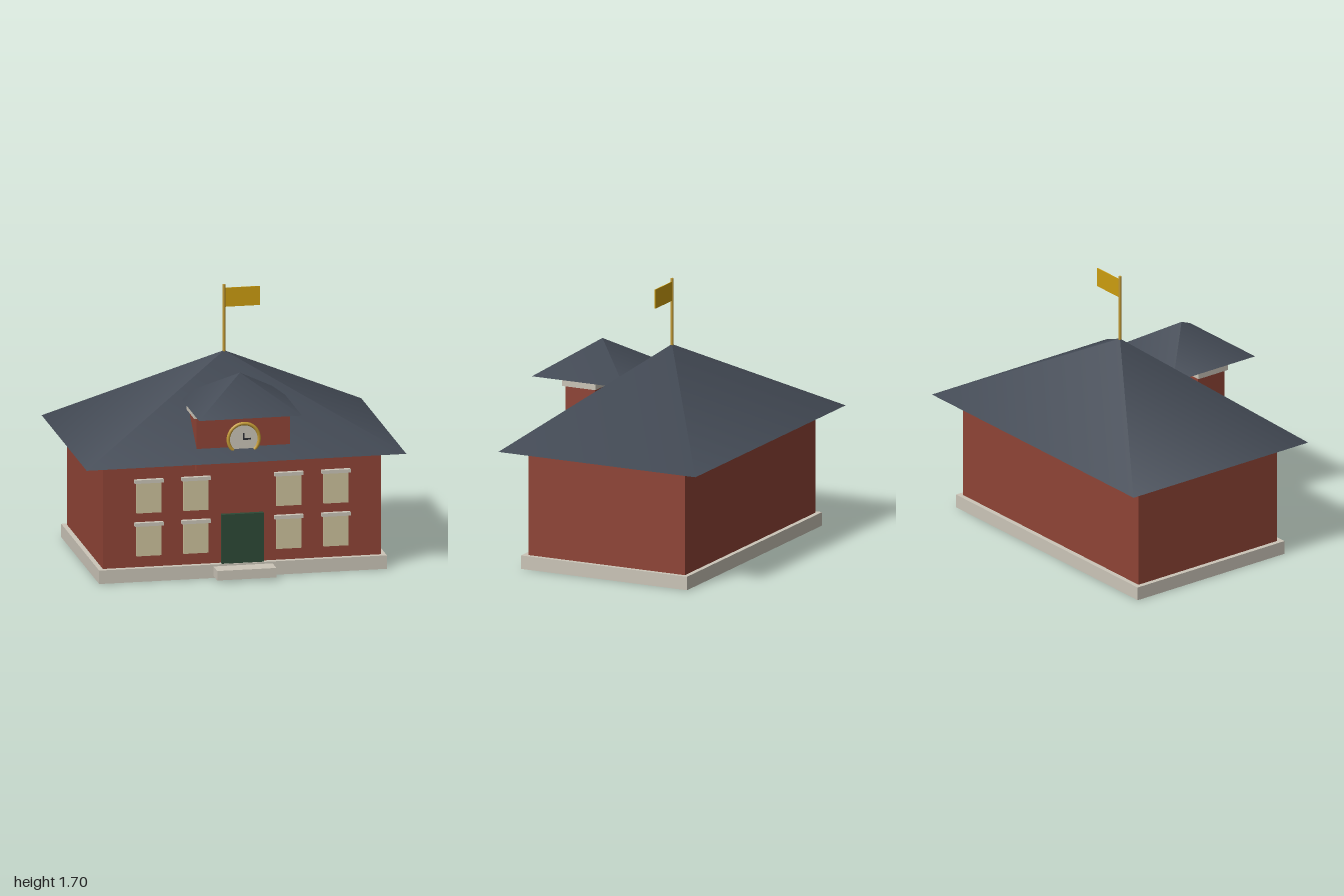
import * as THREE from 'three';

const mat = (name, color) => {
  const m = new THREE.MeshStandardMaterial({ color });
  m.name = name;
  return m;
};

export function createModel() {
  const brick = mat('brick red', 0x8f4436);
  const stone = mat('pale stone', 0xcbc5b8);
  const slate = mat('slate roof', 0x444b56);
  const glass = mat('cream window', 0xccc19c);
  const green = mat('door green', 0x2d4a36);
  const brass = mat('brass', 0xc29a35);
  const gold = mat('flag gold', 0xcc9d10);
  const dark = mat('clock hand dark', 0x2b2d33);

  const model = new THREE.Group();
  model.name = 'schoolhouse';
  const midZ = -0.06;

  const add = (name, geometry, material, x = 0, y = 0, z = 0, parent = model) => {
    const mesh = new THREE.Mesh(geometry, material);
    mesh.name = name;
    mesh.position.set(x, y, z);
    parent.add(mesh);
    return mesh;
  };

  // Box given by its extents on each axis
  const box = (name, material, [x0, x1], [y0, y1], [z0, z1], parent = model) =>
    add(name, new THREE.BoxGeometry(x1 - x0, y1 - y0, z1 - z0), material,
      (x0 + x1) / 2, (y0 + y1) / 2, (z0 + z1) / 2, parent);

  // Four-sided hip roof with softly shaded faces
  const hipRoof = (name, halfX, halfZ, y0, y1, z) => {
    const g = new THREE.ConeGeometry(Math.SQRT2, 1, 4);
    g.rotateY(Math.PI / 4);
    g.translate(0, 0.5, 0);
    add(name, g, slate, 0, y0, z).scale.set(halfX, y1 - y0, halfZ);
  };

  // Main building
  box('foundation', stone, [-0.9, 0.9], [0, 0.085], [-0.63, 0.515]);
  box('walls', brick, [-0.87, 0.87], [0.002, 0.752], [-0.6, 0.48]);
  hipRoof('mainRoof', 1, 0.68, 0.75, 1.285, midZ);

  // Entrance
  box('frontStep', stone, [-0.185, 0.185], [0.013, 0.073], [0.48, 0.628]);
  box('door', green, [-0.132, 0.132], [0.08, 0.395], [0.47, 0.509]);

  // Two rows of four windows with lintels
  for (const y of [0.258, 0.53]) {
    for (const x of [-0.585, -0.29, 0.29, 0.585]) {
      const win = new THREE.Group();
      win.name = 'window';
      win.position.set(x, y, 0);
      model.add(win);
      box('pane', glass, [-0.078, 0.078], [-0.1, 0.1], [0.47, 0.5], win);
      box('lintel', stone, [-0.09, 0.09], [0.09, 0.112], [0.47, 0.509], win);
    }
  }

  // Clock dormer
  box('dormerWalls', brick, [-0.292, 0.292], [0.68, 1.03], [0.32, 0.524]);
  box('dormerCornice', stone, [-0.31, 0.31], [1.02, 1.065], [0.307, 0.537]);
  hipRoof('dormerRoof', 0.322, 0.32, 1.06, 1.267, 0.42);

  const clock = new THREE.Group();
  clock.name = 'clock';
  clock.position.set(0, 0.877, 0.524);
  model.add(clock);
  const dial = new THREE.CylinderGeometry(0.095, 0.095, 0.024, 32);
  dial.rotateX(Math.PI / 2);
  add('clockFace', dial, stone, 0, 0, 0, clock);
  add('clockRim', new THREE.TorusGeometry(0.097, 0.011, 10, 32), brass, 0, 0, 0.011, clock);
  box('hourHand', dark, [-0.005, 0.005], [-0.005, 0.038], [0.01, 0.017], clock);
  box('minuteHand', dark, [-0.005, 0.045], [-0.005, 0.005], [0.01, 0.019], clock);

  // Flagpole and flag
  add('flagpole', new THREE.CylinderGeometry(0.009, 0.009, 0.45, 10), brass, 0, 1.477, midZ);
  box('flag', gold, [0.006, 0.226], [1.56, 1.68], [midZ - 0.003, midZ + 0.003]);

  return model;
}
